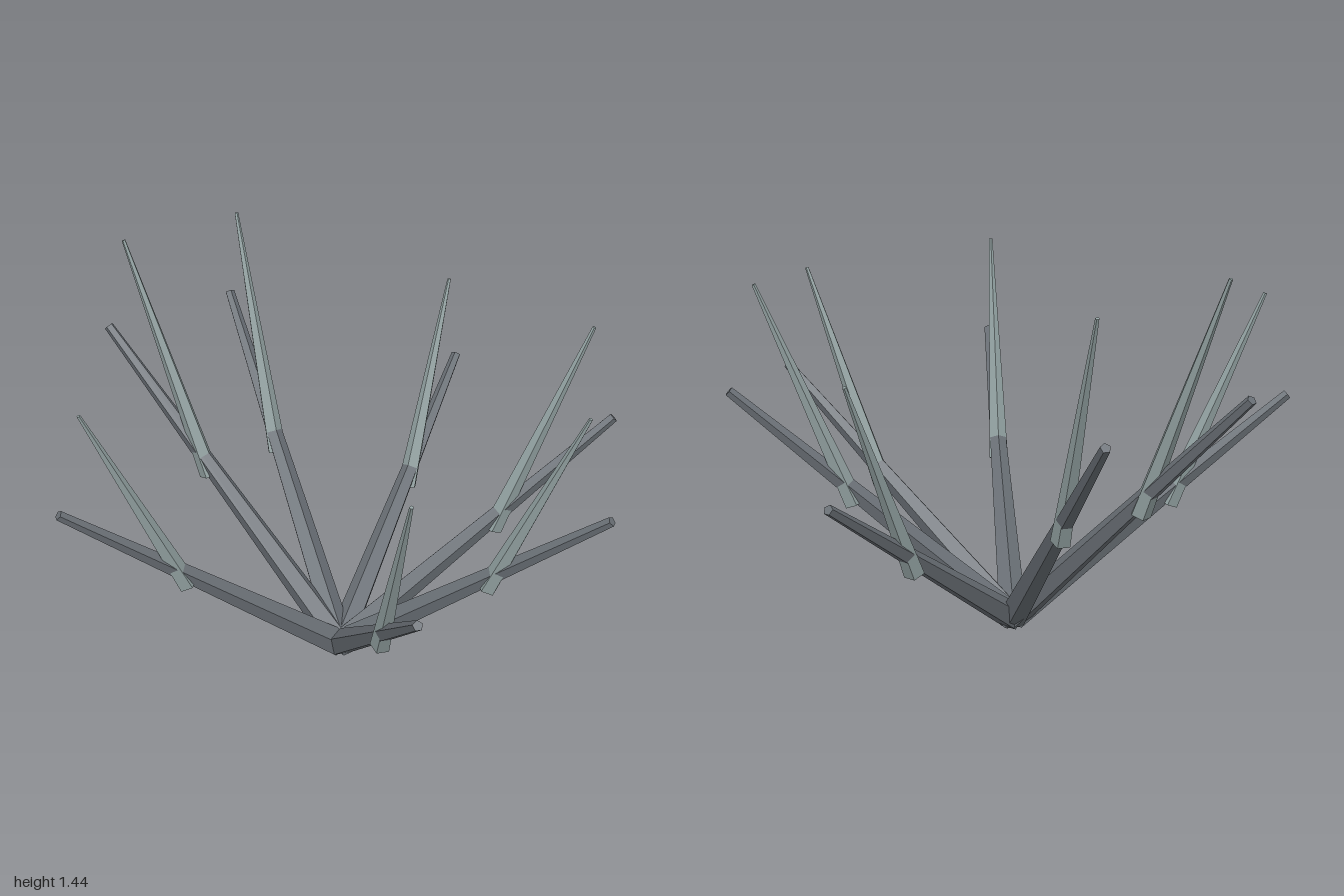
import * as THREE from 'three';

const BASE = new THREE.Vector3(0, 0.033, 0);

// Tapered five-sided shaft between two points, with one ridge turned upward
function shaft(from, to, rFrom, rTo, material, name) {
  const dir = to.clone().sub(from);
  const length = dir.length();
  dir.normalize();
  const up = new THREE.Vector3(0, 1, 0).addScaledVector(dir, -dir.y).normalize();
  const side = new THREE.Vector3().crossVectors(dir, up);
  const mesh = new THREE.Mesh(new THREE.CylinderGeometry(rTo, rFrom, length, 5), material);
  mesh.quaternion.setFromRotationMatrix(new THREE.Matrix4().makeBasis(side, dir, up));
  mesh.position.copy(from).add(to).multiplyScalar(0.5);
  mesh.name = name;
  return mesh;
}

export function createModel() {
  const bark = new THREE.MeshStandardMaterial({ color: 0x6a7076, flatShading: true });
  bark.name = 'darkGrey';
  const pale = new THREE.MeshStandardMaterial({ color: 0x91a0a0, flatShading: true });
  pale.name = 'paleGrey';

  // Branch tip x, y, z followed by twig tip x, y, z
  const stems = [
    [0.985, 0.9, -0.02, 0.885, 1.278, -0.012],
    [0.828, 0.84, 0.52, 0.742, 1.22, 0.472],
    [0.075, 0.85, 0.975, 0.067, 1.23, 0.88],
    [-0.985, 0.825, 0.15, -0.89, 1.2, 0.14],
    [-0.738, 1.065, -0.685, -0.667, 1.44, -0.617],
    [-0.26, 1.008, -0.975, -0.236, 1.385, -0.877],
    [0.593, 0.75, -0.8, 0.537, 1.125, -0.72],
  ];

  const group = new THREE.Group();
  group.name = 'branchCluster';
  stems.forEach((s) => {
    const stem = new THREE.Group();
    stem.name = 'stem';
    const tip = new THREE.Vector3(s[0], s[1], s[2]);
    const twigTip = new THREE.Vector3(s[3], s[4], s[5]);
    // The twig passes through the branch and pokes out just below it
    const twigBase = BASE.clone().lerp(tip, 0.57);
    twigBase.y -= 0.048;
    stem.add(shaft(BASE, tip, 0.052, 0.018, bark, 'branch'));
    stem.add(shaft(twigBase, twigTip, 0.037, 0.007, pale, 'twig'));
    group.add(stem);
  });
  return group;
}
